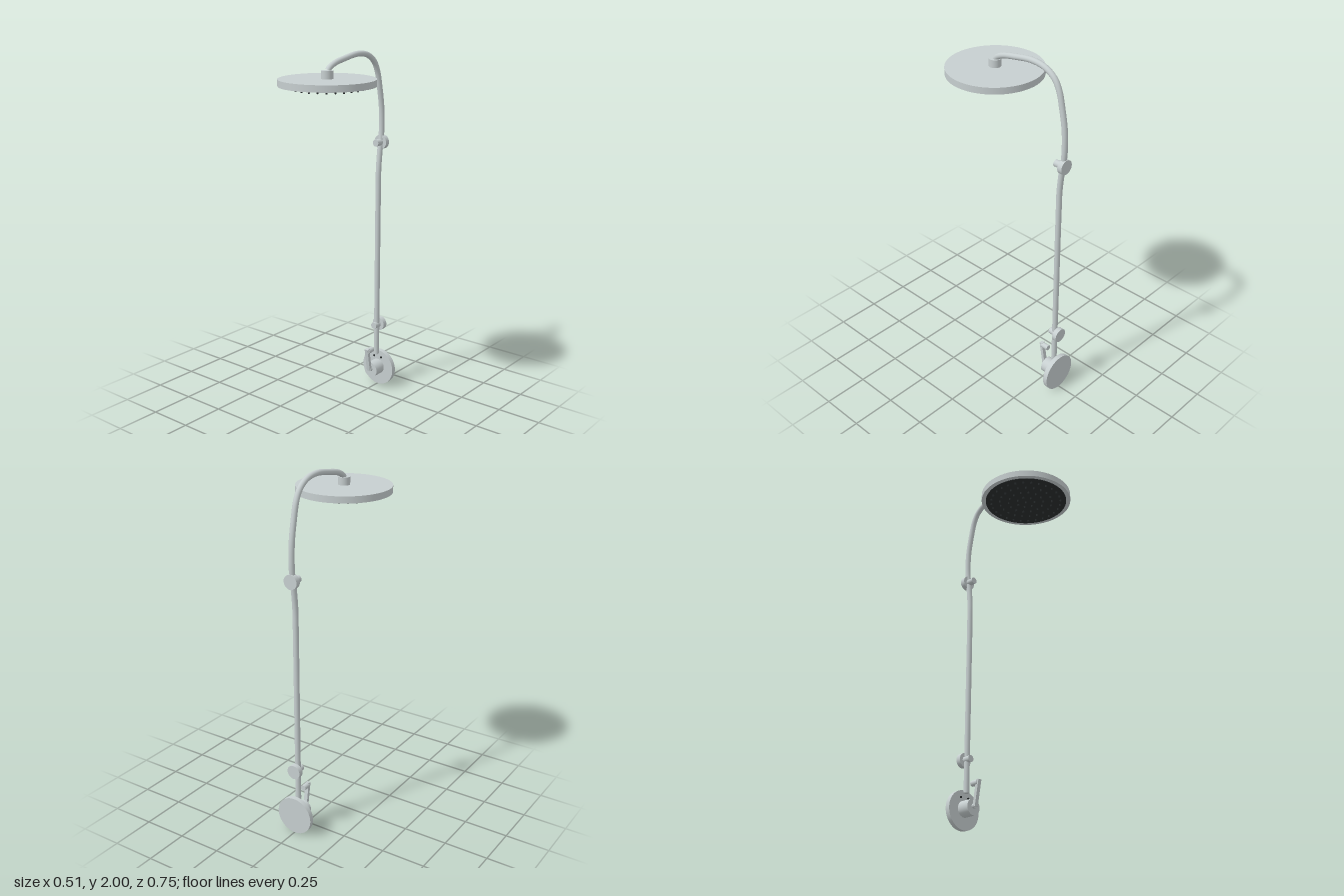
import * as THREE from 'three';

export function createModel() {
  const model = new THREE.Group();
  model.name = 'showerColumn';
  const makeMaterial = (name, color) => {
    const material = new THREE.MeshStandardMaterial({ color });
    material.name = name;
    return material;
  };
  const chrome = makeMaterial('satinChrome', 0xc6cecf);
  const rubber = makeMaterial('darkRubber', 0x2a2e2f);

  const add = (name, geometry, material, x, y, z, parent = model) => {
    const mesh = new THREE.Mesh(geometry, material);
    mesh.name = name;
    mesh.position.set(x, y, z);
    parent.add(mesh);
    return mesh;
  };
  // upright disc between two heights
  const upright = (name, r, y0, y1, z, material = chrome) =>
    add(name, new THREE.CylinderGeometry(r, r, y1 - y0, 80), material, 0, (y0 + y1) / 2, z);
  // disc facing the front, between two depths
  const facing = (name, r, y, z0, z1, material = chrome, x = 0) =>
    add(name, new THREE.CylinderGeometry(r, r, z1 - z0, 48).rotateX(Math.PI / 2), material, x, y, (z0 + z1) / 2);

  // rain head
  const headZ = 0.118;
  upright('showerHead', 0.256, 1.84, 1.876, headZ);
  upright('headCollar', 0.032, 1.87, 1.918, headZ);
  upright('sprayPlate', 0.232, 1.837, 1.8405, headZ, rubber);

  // spray nozzles in rings
  const nozzles = new THREE.Group();
  nozzles.name = 'nozzles';
  model.add(nozzles);
  const nozzle = new THREE.CylinderGeometry(0.006, 0.0045, 0.014, 8);
  for (let ring = 0; ring < 5; ring++) {
    const count = Math.max(1, ring * 7);
    for (let i = 0; i < count; i++) {
      const a = (i / count) * Math.PI * 2;
      add('nozzle', nozzle, rubber, ring * 0.05 * Math.cos(a), 1.832, headZ + ring * 0.05 * Math.sin(a), nozzles);
    }
  }

  // one bent pipe, from the head over and down to the mixer: [y, z]
  const path = [
    [1.915, 0.116], [1.932, 0.098], [1.951, 0.055], [1.967, -0.02], [1.983, -0.135], [1.971, -0.22],
    [1.934, -0.278], [1.88, -0.31], [1.79, -0.333], [1.685, -0.352], [1.595, -0.357],
    [1.526, -0.355], [1.42, -0.341], [1.32, -0.332], [1.22, -0.331], [0.7, -0.331], [0.2, -0.331],
  ].map(([y, z]) => new THREE.Vector3(0, y, z));
  add('pipe', new THREE.TubeGeometry(new THREE.CatmullRomCurve3(path), 200, 0.0155, 20), chrome, 0, 0, 0);
  upright('pipeEnd', 0.0155, 0.199, 0.204, -0.331);

  // wall brackets
  for (const [name, y] of [['upperBracket', 1.478], ['lowerBracket', 0.385]]) {
    facing(name + 'Flange', 0.04, y, -0.373, -0.345);
    facing(name + 'Stem', 0.019, y, -0.348, -0.301);
  }

  // mixer valve
  facing('mixerPlate', 0.108, 0.108, -0.373, -0.346);
  facing('mixerBody', 0.045, 0.113, -0.35, -0.274);
  for (const side of [-1, 1]) facing('temperatureMark', 0.006, 0.175, -0.348, -0.341, rubber, side * 0.026);

  // tilted lever with a short grip at its top
  const lever = add('lever', new THREE.BoxGeometry(0.022, 0.145, 0.018), chrome, 0, 0.185, -0.25);
  lever.rotation.x = 0.17;
  facing('leverGrip', 0.016, 0.241, -0.286, -0.24);
  facing('leverPivot', 0.014, 0.118, -0.28, -0.262);

  return model;
}
